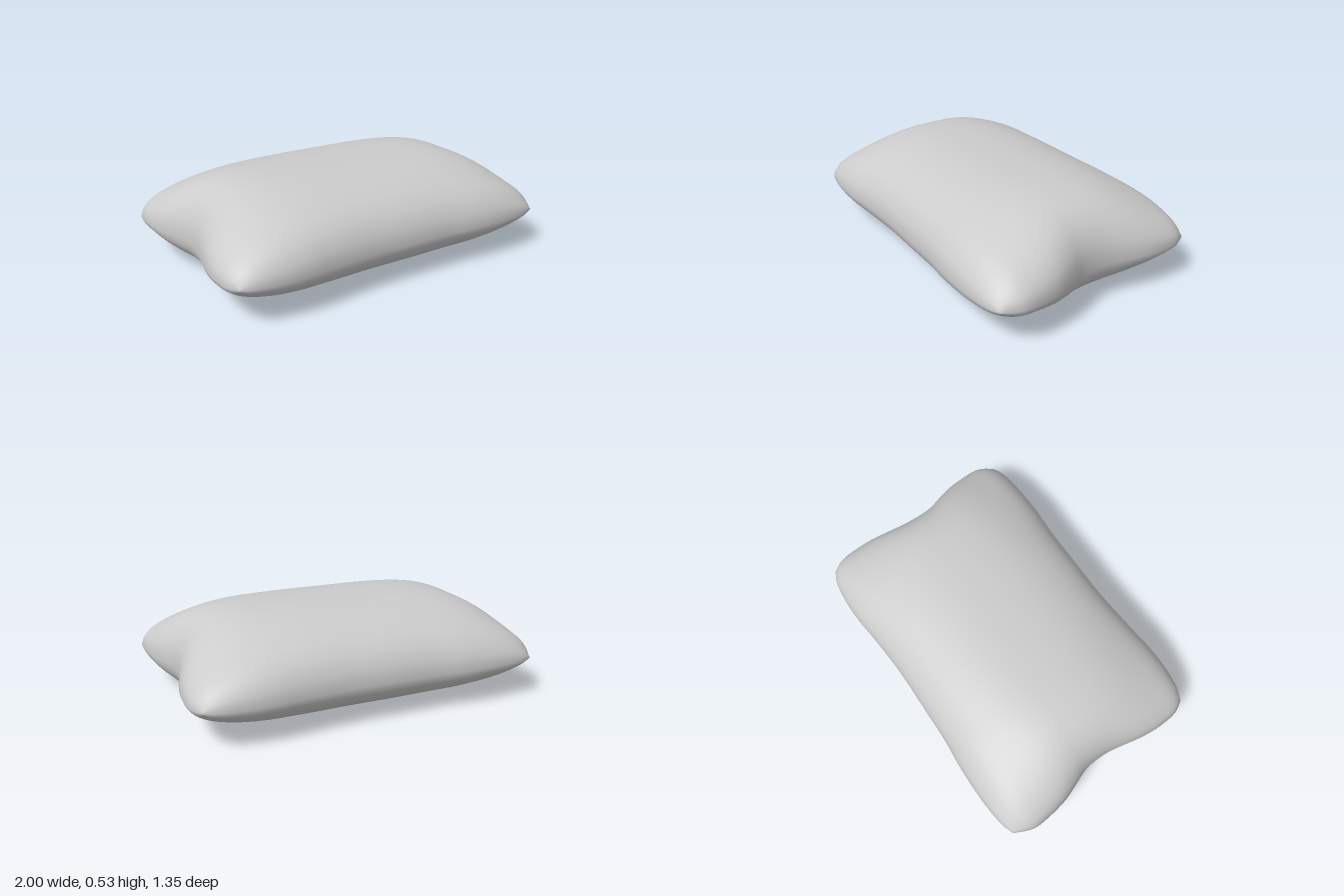
import * as THREE from 'three';
import { mergeVertices } from 'three/addons/utils/BufferGeometryUtils.js';

const N = 56; // grid cells along each side of the cushion
const MID = 0.215, UP = 0.313, DOWN = 0.213; // seam height, rise above, drop below

const curve = pts => new THREE.CatmullRomCurve3(pts.map(([x, z]) => new THREE.Vector3(x, 0, z)));

// Seam outline: right side (back to front) and front (left to right).
// The other two sides are the same curves turned half a turn.
const rightSeam = curve([[0.83, -0.645], [0.87, -0.58], [0.89, -0.46], [0.89, -0.36], [0.865, -0.13],
  [0.88, 0], [0.92, 0.09], [0.96, 0.18], [0.99, 0.3], [1, 0.4], [0.965, 0.505]]);
const frontSeam = curve([[-0.83, 0.645], [-0.76, 0.668], [-0.62, 0.675], [-0.48, 0.663], [-0.35, 0.64],
  [-0.1, 0.605], [0.15, 0.588], [0.37, 0.575], [0.55, 0.575], [0.75, 0.56], [0.9, 0.533], [0.965, 0.505]]);

// Parameter values packed closer together towards the seam
const params = Array.from({ length: N + 1 }, (_, i) => {
  const t = (2 * i) / N - 1;
  return 0.35 * t + 0.65 * Math.sin((t * Math.PI) / 2);
});
const sample = c => params.map(t => c.getPointAt((t + 1) / 2));
const right = sample(rightSeam), front = sample(frontSeam);
const left = right.map((_, i) => right[N - i].clone().negate());
const back = front.map((_, i) => front[N - i].clone().negate());

// Blend the four seam curves across the inside of the outline
function planPoint(i, j) {
  const s = (params[i] + 1) / 2, t = (params[j] + 1) / 2;
  const p = new THREE.Vector3();
  p.addScaledVector(left[j], 1 - s).addScaledVector(right[j], s);
  p.addScaledVector(back[i], 1 - t).addScaledVector(front[i], t);
  p.addScaledVector(back[0], -(1 - s) * (1 - t)).addScaledVector(back[N], -s * (1 - t));
  p.addScaledVector(front[0], -(1 - s) * t).addScaledVector(front[N], -s * t);
  return p;
}

// Fullness from 0 at the seam to 1 in the middle; the corners taper more
function fullness(a, b) {
  const power = 6 - 3 * THREE.MathUtils.smoothstep(Math.abs(b), 0, 0.75);
  const fall = (v, p) => Math.pow(Math.max(0, 1 - Math.pow(Math.abs(v), p)), 0.6);
  const rim = Math.sqrt(Math.max(0, (1 - a ** 8) * (1 - b ** 8)));
  return 0.16 * rim + 0.84 * fall(a, power) * fall(b, 2.4);
}

function cushionGeometry() {
  const pos = [], index = [];
  for (const side of [1, -1]) {
    const base = pos.length / 3;
    for (let i = 0; i <= N; i++) {
      for (let j = 0; j <= N; j++) {
        const p = planPoint(i, j);
        const h = fullness(params[i], params[j]);
        pos.push(p.x, MID + (side > 0 ? UP : -DOWN) * h, p.z);
      }
    }
    for (let i = 0; i < N; i++) {
      for (let j = 0; j < N; j++) {
        const a = base + i * (N + 1) + j, b = a + 1, c = a + N + 1, d = c + 1;
        if (side > 0) index.push(a, b, c, b, d, c);
        else index.push(a, c, b, b, c, d);
      }
    }
  }
  const g = new THREE.BufferGeometry();
  g.setAttribute('position', new THREE.Float32BufferAttribute(pos, 3));
  g.setIndex(index);
  const joined = mergeVertices(g, 1e-5); // join the two halves along the seam
  joined.computeVertexNormals();
  return joined;
}

export function createModel() {
  const group = new THREE.Group();
  group.name = 'pillow';
  const cushion = new THREE.Mesh(cushionGeometry(), new THREE.MeshStandardMaterial({ color: 0xcccccc }));
  cushion.name = 'cushion';
  group.add(cushion);
  return group;
}
